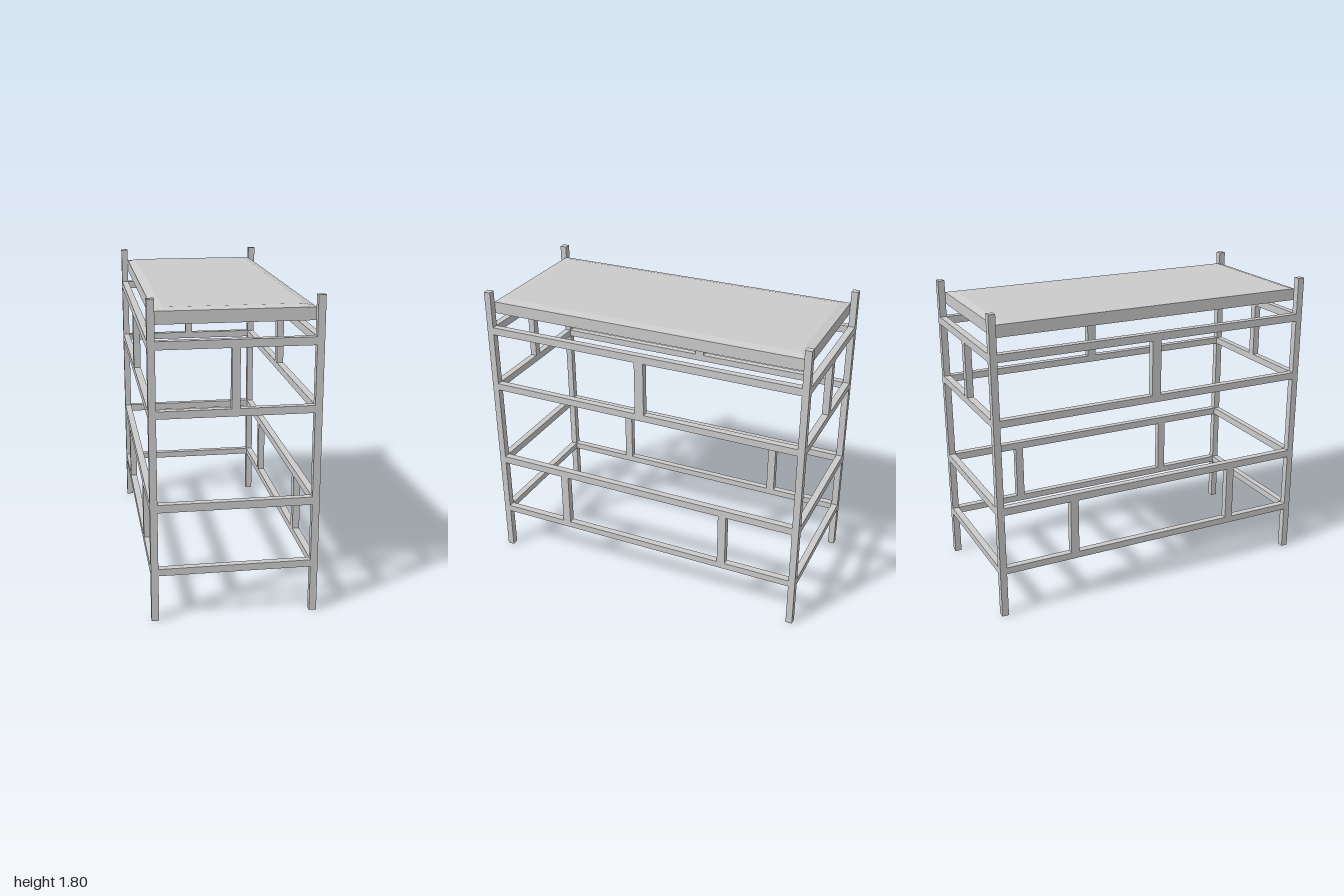
import * as THREE from 'three';

const material = new THREE.MeshStandardMaterial({ color: 0xcccccc, flatShading: true });

// Box given by its lower and upper corner on each axis
function bar(name, [x0, x1], [y0, y1], [z0, z1]) {
  const geometry = new THREE.BoxGeometry(x1 - x0, y1 - y0, z1 - z0);
  const mesh = new THREE.Mesh(geometry, material);
  mesh.name = name;
  mesh.position.set((x0 + x1) / 2, (y0 + y1) / 2, (z0 + z1) / 2);
  return mesh;
}

// Slab whose upper face is drawn in to leave a shallow sloped border
function slab(halfX, halfZ, y0, y1, yTop, inset) {
  const geometry = new THREE.BoxGeometry(2 * halfX, 1, 2 * halfZ, 3, 2, 3);
  const p = geometry.attributes.position;
  const snap = (v, half) => Math.sign(v) * (Math.abs(v) > half * 0.9 ? half : half - inset);
  for (let i = 0; i < p.count; i++) {
    const x = snap(p.getX(i), halfX), z = snap(p.getZ(i), halfZ);
    const border = Math.abs(x) === halfX || Math.abs(z) === halfZ;
    let y = y0;
    if (p.getY(i) > 0.25) y = border ? y1 : yTop;
    else if (p.getY(i) > -0.25) y = (y0 + y1) / 2;
    p.setXYZ(i, x, y, z);
  }
  geometry.computeVertexNormals();
  return new THREE.Mesh(geometry, material);
}

export function createModel() {
  const model = new THREE.Group();
  model.name = 'rackTable';
  const outX = 0.467, inX = 0.426, outZ = 1, inZ = 0.96;
  const railLevels = [[0.27, 0.31], [0.64, 0.685], [1.165, 1.207], [1.535, 1.58]];
  const lowerGap = [0.31, 0.64], upperGap = [1.207, 1.535];
  const span = (s, a, b) => (s > 0 ? [a, b] : [-b, -a]);

  for (const s of [-1, 1]) {
    const sideX = span(s, inX, outX), endZ = span(s, inZ, outZ);

    // Corner posts
    for (const t of [-1, 1]) model.add(bar('cornerPost', sideX, [0, 1.8], span(t, inZ, outZ)));

    // Horizontal rails on the long sides and the ends
    for (const level of railLevels) {
      model.add(bar('sideRail', sideX, level, [-inZ, inZ]));
      model.add(bar('endRail', [-inX, inX], level, endZ));
    }

    // Short uprights between the rails
    for (const z of [-0.53, 0.53]) model.add(bar('lowerSideUpright', sideX, lowerGap, [z - 0.025, z + 0.025]));
    model.add(bar('upperSideUpright', sideX, upperGap, [-0.028, 0.028]));
    model.add(bar('upperEndUpright', [-0.025, 0.02], upperGap, endZ));
  }

  // Top panel
  const top = slab(inX, inZ, 1.66, 1.73, 1.742, 0.05);
  top.name = 'topPanel';
  model.add(top);
  return model;
}
